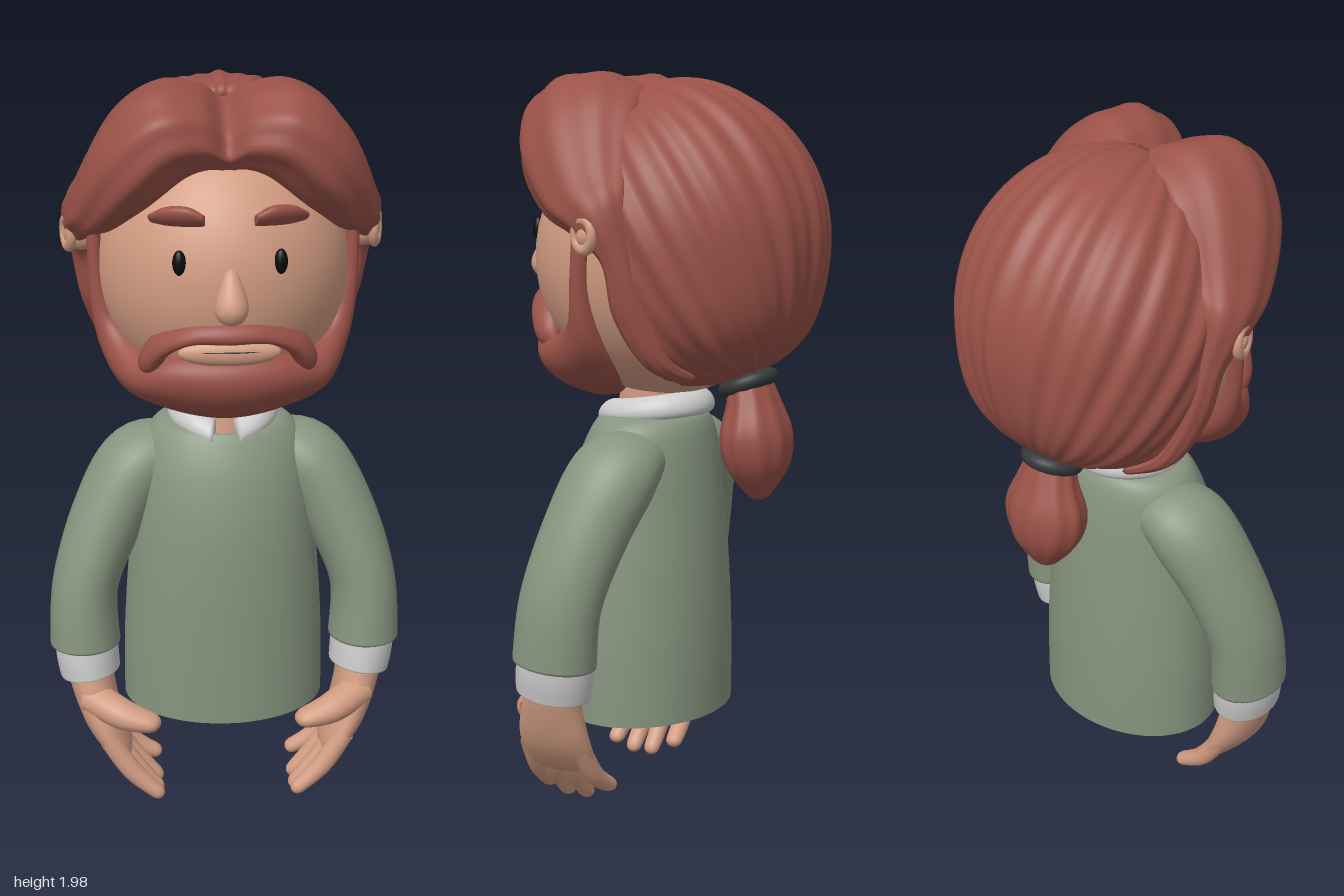
import * as THREE from 'three';

const mat = (color) => new THREE.MeshStandardMaterial({ color, side: THREE.DoubleSide, roughness: 0.9 });
const HAIR = mat(0x9a5248), SKIN = mat(0xd29c82), KNIT = mat(0x87957f),
  WHITE = mat(0xcccccc), DARK = mat(0x343838), BLACK = mat(0x0c0c0c);
const V = (x, y, z) => new THREE.Vector3(x, y, z);
const TAU = Math.PI * 2;

function add(parent, name, geometry, material, pos = [0, 0, 0], scale = [1, 1, 1]) {
  const m = new THREE.Mesh(geometry, material);
  m.name = name;
  m.position.set(...pos);
  m.scale.set(...scale);
  parent.add(m);
  return m;
}

const ball = (parent, name, material, pos, scale) =>
  add(parent, name, new THREE.SphereGeometry(1, 40, 28), material, pos, scale);

// Smooth curve through rows of numbers, t from 0 to 1
function spline(rows, t) {
  const n = rows.length - 1, i = Math.min(Math.floor(t * n), n - 1), f = t * n - i;
  const at = (k) => rows[Math.max(0, Math.min(n, k))];
  return rows[0].map((_, c) => {
    const [a, b, d, e] = [at(i - 1)[c], at(i)[c], at(i + 1)[c], at(i + 2)[c]];
    return b + 0.5 * f * (d - a + f * (2 * a - 5 * b + 4 * d - e + f * (3 * (b - d) + e - a)));
  });
}

// Skin closed rings of points
function loft(rings) {
  const n = rings[0].length, index = [];
  for (let i = 0; i < rings.length - 1; i++) {
    for (let j = 0; j < n; j++) {
      const k = (j + 1) % n, a = i * n, b = a + n;
      index.push(a + j, b + j, a + k, a + k, b + j, b + k);
    }
  }
  const g = new THREE.BufferGeometry().setFromPoints(rings.flat());
  g.setIndex(index);
  g.computeVertexNormals();
  return g;
}

const ring = (n, fn) => Array.from({ length: n }, (_, j) => fn((j / n) * TAU));

// Lock of hair or band: rows are [lower edge xyz, upper edge xyz, bulge]
function band(rows, { mirror = true, centre = V(0, 1.5, 0), ripple = 0, waves = 9, steps = 64 } = {}) {
  if (mirror) {
    const flip = rows.slice(1).reverse().map((r) => r.map((v, c) => (c === 0 || c === 3 ? -v : v)));
    rows = [...flip, ...rows];
  }
  const rings = [], n = 48;
  for (let i = 0; i <= steps; i++) {
    const r = spline(rows, i / steps), lo = V(r[0], r[1], r[2]), up = V(r[3], r[4], r[5]);
    const mid = lo.clone().add(up).multiplyScalar(0.5), half = up.clone().sub(mid);
    const out = mid.clone().sub(centre).normalize().multiplyScalar(r[6]);
    const point = (a) => {
      const k = 1 + ripple * Math.cos(waves * a);
      return mid.clone().addScaledVector(half, k * Math.cos(a)).addScaledVector(out, -k * Math.sin(a));
    };
    if (i === 0) rings.push(ring(n, () => mid.clone()));
    rings.push(ring(n, point));
    if (i === steps) rings.push(ring(n, () => mid.clone()));
  }
  return loft(rings);
}

// Limb: rows are [x, y, z, side radius, depth radius]; dome rounds off the last part
function limb(rows, { dome = 0, ripple = 0, waves = 9, sides = 28, steps = 26 } = {}) {
  const rings = [];
  for (let i = 0; i <= steps; i++) {
    const t = Math.sin((i / steps) * Math.PI / 2), r = spline(rows, t);
    const p0 = spline(rows, Math.max(0, t - 0.01)), p1 = spline(rows, Math.min(1, t + 0.01));
    const T = V(p1[0] - p0[0], p1[1] - p0[1], p1[2] - p0[2]).normalize();
    const N = V(0, 0, 1).addScaledVector(T, -T.z).normalize(), B = T.clone().cross(N);
    const s = dome && t > 1 - dome ? Math.sqrt(Math.max(0, 1 - ((t - 1 + dome) / dome) ** 2)) : 1;
    rings.push(ring(sides, (a) => {
      const k = s * (1 + ripple * Math.cos(waves * a));
      return V(r[0], r[1], r[2]).addScaledVector(B, k * r[3] * Math.cos(a)).addScaledVector(N, k * r[4] * Math.sin(a));
    }));
  }
  return loft(rings);
}

// Combed-back hair: strands fan out from the hair tie over the skull
function combedHair() {
  const A = V(0, -0.857, -0.515), B = V(0, 0.515, -0.857), rad = Math.PI / 180;
  const edge = [165, 165, 162, 156, 142, 121, 95, 67, 40, 28, 22, 19, 17].map((v) => [v]);
  const rings = [], rows = 44;
  for (let i = 0; i <= rows + 2; i++) {
    const t = Math.min(i / rows, 1), inner = 1 - 0.05 * Math.max(0, i - rows);
    rings.push(ring(240, (phi) => {
      const turn = Math.min(phi, TAU - phi) / Math.PI;
      const th = t * spline(edge, turn)[0] * rad;
      const d = A.clone().multiplyScalar(Math.cos(th))
        .addScaledVector(B, Math.sin(th) * Math.cos(phi));
      d.x = Math.sin(th) * Math.sin(phi);
      const p = 2 + 0.4 * THREE.MathUtils.smoothstep(-d.y, 0, 0.7);
      const ry = d.y < 0 ? 0.39 : 0.42;
      let r = (Math.abs(d.x / 0.372) ** p + Math.abs(d.y / ry) ** p + Math.abs(d.z / 0.4) ** p) ** (-1 / p);
      r += Math.sin(th) * (0.004 * Math.cos(32 * phi) + 0.004 * Math.cos(18 * phi));
      return d.multiplyScalar(r * inner).add(V(0, 1.55, -0.03));
    }));
  }
  return loft(rings);
}

function makeArm() {
  const arm = new THREE.Group();
  add(arm, 'sleeve', limb([[0.13, 0.98, 0.04, 0.07, 0.1], [0.23, 0.94, 0.05, 0.102, 0.125], [0.315, 0.8, 0.09, 0.1, 0.12],
    [0.38, 0.62, 0.13, 0.09, 0.115], [0.385, 0.44, 0.15, 0.097, 0.117]], { dome: 0.03, steps: 40 }), KNIT);
  add(arm, 'cuff', limb([[0.385, 0.48, 0.145, 0.085, 0.105], [0.38, 0.42, 0.152, 0.086, 0.108],
    [0.372, 0.36, 0.16, 0.082, 0.106]], { dome: 0.1 }), WHITE);
  add(arm, 'palm', limb([[0.375, 0.4, 0.16, 0.065, 0.075], [0.365, 0.33, 0.17, 0.06, 0.085], [0.34, 0.24, 0.18, 0.052, 0.103],
    [0.305, 0.17, 0.185, 0.04, 0.108], [0.275, 0.12, 0.185, 0.028, 0.1]], { dome: 0.2 }), SKIN);
  // four fingers, little finger at the back
  [[0.09, 0.05], [0.165, 0.012], [0.225, 0.01], [0.285, 0.03]].forEach(([z, y], k) => {
    const base = 0.108 + 0.052 * k;
    add(arm, 'finger', limb([[0.325, 0.2, base, 0.028, 0.028], [0.262, 0.105, (base + z) / 2, 0.027, 0.027],
      [0.18, y, z, 0.019, 0.023]], { dome: 0.15, sides: 18 }), SKIN);
  });
  add(arm, 'thumb', limb([[0.37, 0.31, 0.21, 0.045, 0.05], [0.285, 0.285, 0.275, 0.04, 0.046],
    [0.185, 0.266, 0.305, 0.021, 0.032]], { dome: 0.18, sides: 18 }), SKIN);
  return arm;
}

export function createModel() {
  const model = new THREE.Group();

  // sweater body, open at the bottom, with a dipped neckline
  const body = [[0.255, 0.278, 0.22, 0.07], [0.45, 0.275, 0.221, 0.07], [0.65, 0.262, 0.217, 0.072], [0.82, 0.245, 0.205, 0.072],
    [0.95, 0.23, 0.185, 0.065], [1.035, 0.205, 0.16, 0.055], [1.075, 0.165, 0.135, 0.05], [1.08, 0.11, 0.1, 0.045]];
  const bodyRings = Array.from({ length: 41 }, (_, i) => {
    const [y, rx, rz, z] = spline(body, i / 40), dip = 0.05 * THREE.MathUtils.smoothstep(i, 32, 40);
    return ring(56, (a) => V(rx * Math.cos(a), y - dip * Math.max(0, Math.sin(a)) ** 4, z + rz * Math.sin(a)));
  });
  add(model, 'sweater', loft(bodyRings), KNIT);

  const leftArm = makeArm(), rightArm = makeArm();
  leftArm.name = 'leftArm';
  rightArm.name = 'rightArm';
  rightArm.scale.x = -1;
  model.add(leftArm, rightArm);

  // neck and shirt collar with a front gap
  add(model, 'neck', limb([[0, 0.98, 0.055, 0.11, 0.115], [0, 1.09, 0.045, 0.1, 0.105], [0, 1.3, 0.02, 0.1, 0.1]]), SKIN);
  const collar = Array.from({ length: 13 }, (_, i) => {
    const a = THREE.MathUtils.lerp(0.25, TAU - 0.25, i / 12), s = Math.sin(a), c = Math.cos(a), tip = i % 12 ? 0 : 0.015;
    return [0.14 * s, 1.07 - 0.015 * c - tip, 0.045 + 0.155 * c, 0.1 * s, 1.127 - 0.018 * c - tip, 0.045 + 0.115 * c, 0.024];
  });
  add(model, 'collar', band(collar, { mirror: false, centre: V(0, 1.02, 0.045) }), WHITE);

  // head and face
  const head = new THREE.Group();
  head.name = 'head';
  model.add(head);
  ball(head, 'face', SKIN, [0, 1.5, 0.012], [0.335, 0.37, 0.36]);
  const noseProfile = [[0, -0.045], [0.022, -0.04], [0.038, -0.022], [0.042, 0], [0.036, 0.03], [0.025, 0.062], [0.014, 0.085], [0, 0.095]];
  const noseCurve = new THREE.SplineCurve(noseProfile.map(([x, y]) => new THREE.Vector2(x, y))).getPoints(28)
    .map((p) => p.set(Math.max(0, p.x), p.y));
  add(head, 'nose', new THREE.LatheGeometry(noseCurve, 28), SKIN, [0, 1.475, 0.39]).rotation.x = -0.25;
  ball(head, 'lips', SKIN, [0, 1.338, 0.325], [0.13, 0.036, 0.028]);
  ball(head, 'mouthLine', DARK, [0, 1.345, 0.329], [0.1, 0.0035, 0.027]);
  for (const s of [-1, 1]) {
    ball(head, 'eye', BLACK, [s * 0.125, 1.575, 0.338], [0.017, 0.032, 0.016]).rotation.y = s * 0.35;
    const brow = [[0.062, 1.664, 0.33, 0.062, 1.69, 0.33, 0.022], [0.1, 1.662, 0.322, 0.1, 1.708, 0.318, 0.032],
      [0.15, 1.66, 0.3, 0.15, 1.704, 0.295, 0.03], [0.19, 1.662, 0.275, 0.19, 1.682, 0.275, 0.018]];
    add(head, 'eyebrow', band(brow, { mirror: false, steps: 20 }), HAIR, [0, 0, 0], [s, 1, 1]);
    ball(head, 'ear', SKIN, [s * 0.365, 1.578, 0.04], [0.048, 0.046, 0.033]);
    const rim = add(head, 'earRim', new THREE.TorusGeometry(0.034, 0.014, 14, 32), SKIN, [s * 0.4, 1.58, 0.04], [0.9, 1.1, 1]);
    rim.rotation.y = Math.PI / 2 - s * 0.3;
  }

  // beard with sideburns, and moustache flowing into it
  add(head, 'beard', band([[0, 1.3, 0.345, 0, 1.145, 0.11, 0.09], [0.14, 1.3, 0.318, 0.11, 1.165, 0.08, 0.088],
    [0.235, 1.285, 0.245, 0.2, 1.215, 0.05, 0.075], [0.29, 1.35, 0.145, 0.29, 1.3, 0.06, 0.045],
    [0.322, 1.46, 0.12, 0.328, 1.45, 0.075, 0.025], [0.332, 1.63, 0.11, 0.338, 1.63, 0.06, 0.018]]), HAIR);
  add(head, 'moustache', band([[0, 1.372, 0.352, 0, 1.425, 0.352, 0.034], [0.09, 1.37, 0.338, 0.09, 1.42, 0.334, 0.036],
    [0.145, 1.335, 0.305, 0.175, 1.385, 0.285, 0.043], [0.17, 1.29, 0.28, 0.22, 1.325, 0.25, 0.038],
    [0.18, 1.25, 0.25, 0.22, 1.265, 0.22, 0.015]]), HAIR);

  // hair: combed back, parted fringe sweeping behind the ears, tie and ponytail
  const hair = new THREE.Group();
  hair.name = 'hair';
  model.add(hair);
  add(hair, 'combedHair', combedHair(), HAIR);
  add(hair, 'fringe', band([[0, 1.79, 0.255, 0, 1.91, 0, 0.08], [0.05, 1.812, 0.285, 0.05, 1.93, 0.01, 0.115],
    [0.13, 1.797, 0.305, 0.13, 1.94, 0.02, 0.145], [0.225, 1.712, 0.28, 0.22, 1.89, 0, 0.128],
    [0.305, 1.62, 0.185, 0.315, 1.745, -0.03, 0.088], [0.35, 1.575, 0.085, 0.36, 1.675, -0.05, 0.062],
    [0.36, 1.51, 0.005, 0.358, 1.56, -0.07, 0.04], [0.345, 1.38, -0.015, 0.34, 1.4, -0.1, 0.032],
    [0.3, 1.26, -0.07, 0.29, 1.265, -0.14, 0.026], [0.22, 1.2, -0.13, 0.21, 1.21, -0.18, 0.012]],
  { ripple: 0.03, centre: V(0, 1.65, -0.08), steps: 126 }), HAIR);
  add(hair, 'hairTie', new THREE.TorusGeometry(0.062, 0.022, 16, 40), DARK, [0, 1.175, -0.232]).rotation.x = Math.PI / 2 + 0.35;
  add(hair, 'ponytail', limb([[0, 1.2, -0.225, 0.06, 0.055], [0, 1.13, -0.245, 0.085, 0.068], [0, 1.04, -0.256, 0.12, 0.092],
    [0, 0.95, -0.262, 0.1, 0.08], [0, 0.86, -0.268, 0.025, 0.02]], { ripple: 0.025, waves: 10, sides: 80, dome: 0.06 }), HAIR);

  return model;
}
